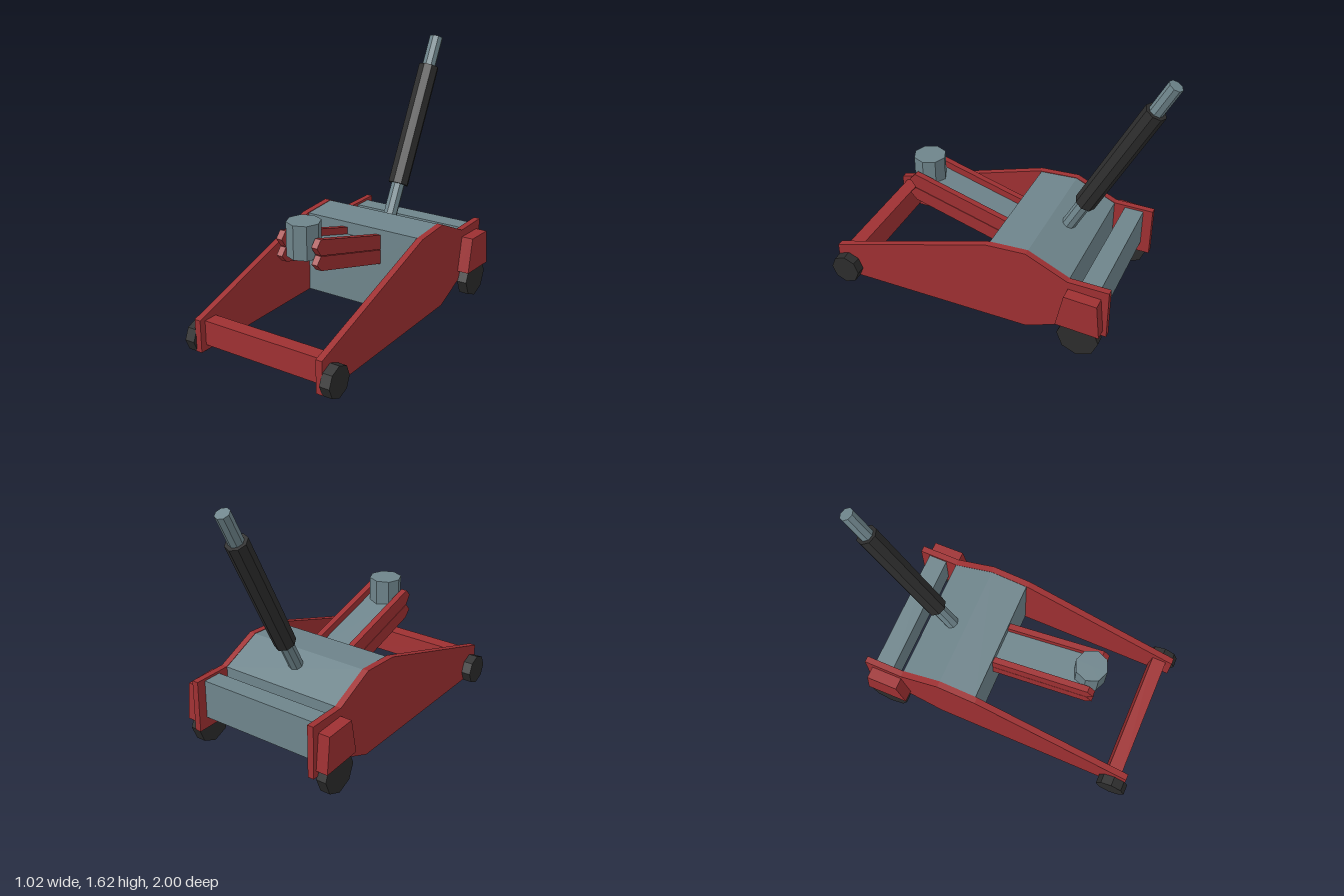
import * as THREE from 'three';

const mat = (color) => new THREE.MeshStandardMaterial({ color, flatShading: true });

export function createModel() {
  const red = mat(0x9e3032), steel = mat(0x6e848b), black = mat(0x2c2c2c);
  const model = new THREE.Group();
  model.name = 'floorJack';

  const add = (name, geometry, material) => {
    const mesh = new THREE.Mesh(geometry, material);
    mesh.name = name;
    model.add(mesh);
    return mesh;
  };

  // Side profile given as [z, y] points, extruded from x0 to x1
  const slab = (name, points, x0, x1, material) => {
    const shape = new THREE.Shape(points.map(([z, y]) => new THREE.Vector2(z, y)));
    const geometry = new THREE.ExtrudeGeometry(shape, { depth: x1 - x0, bevelEnabled: false });
    geometry.rotateY(-Math.PI / 2).translate(x1, 0, 0);
    return add(name, geometry, material);
  };

  // Octagonal rod between two [z, y] points on the centre plane
  const rod = (name, a, b, radius, material) => {
    const from = new THREE.Vector3(0, a[1], a[0]), to = new THREE.Vector3(0, b[1], b[0]);
    const mesh = add(name, new THREE.CylinderGeometry(radius, radius, from.distanceTo(to), 8), material);
    mesh.position.copy(from).add(to).multiplyScalar(0.5);
    mesh.quaternion.setFromUnitVectors(new THREE.Vector3(0, 1, 0), to.sub(from).normalize());
  };

  const wheel = (name, side, y, z, radius) => {
    const geometry = new THREE.CylinderGeometry(radius, radius, 0.064, 8);
    geometry.rotateZ(Math.PI / 2);
    add(name, geometry, black).position.set(side * 0.465, y, z);
  };

  const plate = [[0.98, 0.05], [0.98, 0.25], [-0.05, 0.578], [-0.3, 0.593], [-0.56, 0.475],
    [-0.81, 0.475], [-0.81, 0.15], [-0.55, 0.15], [-0.31, 0.05]];
  const housing = [[-0.52, 0.205], [-0.565, 0.427], [-0.765, 0.418], [-0.788, 0.192]];
  const upperArm = [[-0.06, 0.54], [0.562, 0.717], [0.6, 0.675], [0.563, 0.622], [-0.06, 0.447]];
  const lowerArm = [[-0.06, 0.443], [0.563, 0.618], [0.6, 0.575], [0.56, 0.53], [-0.06, 0.352]];

  // Mirrored frame plates, wheel housings, wheels and lifting arms
  for (const side of [1, -1]) {
    const pair = (name, points, inner, outer) =>
      slab(name, points, side > 0 ? inner : -outer, side > 0 ? outer : -inner, red);
    pair('sidePlate', plate, 0.397, 0.437);
    pair('rearWheelHousing', housing, 0.435, 0.512);
    pair('upperLiftArm', upperArm, 0.102, 0.141);
    pair('lowerLiftArm', lowerArm, 0.102, 0.141);
    wheel('frontWheel', side, 0.114, 0.907, 0.095);
    wheel('rearWheel', side, 0.133, -0.655, 0.128);
  }

  // Body between the plates
  slab('body', [[-0.06, 0.05], [-0.06, 0.575], [-0.3, 0.59], [-0.56, 0.472],
    [-0.56, 0.15], [-0.55, 0.15], [-0.31, 0.053]], -0.398, 0.398, steel);

  // Cross members
  slab('frontCrossbar', [[0.94, 0.085], [0.94, 0.235], [0.85, 0.235], [0.835, 0.085]], -0.398, 0.398, red);
  slab('rearCrossbar', [[-0.63, 0.22], [-0.63, 0.46], [-0.75, 0.46], [-0.75, 0.22]], -0.398, 0.398, steel);

  // Lifting beam and saddle
  slab('liftBeam', [[-0.06, 0.4], [-0.06, 0.495], [0.53, 0.663], [0.54, 0.568]], -0.103, 0.103, steel);
  add('saddle', new THREE.CylinderGeometry(0.101, 0.101, 0.205, 8), steel).position.set(0, 0.688, 0.528);

  // Handle and grip
  rod('handle', [-0.4, 0.54], [-0.955, 1.604], 0.044, steel);
  rod('handleGrip', [-0.495, 0.722], [-0.863, 1.428], 0.066, black);

  return model;
}
